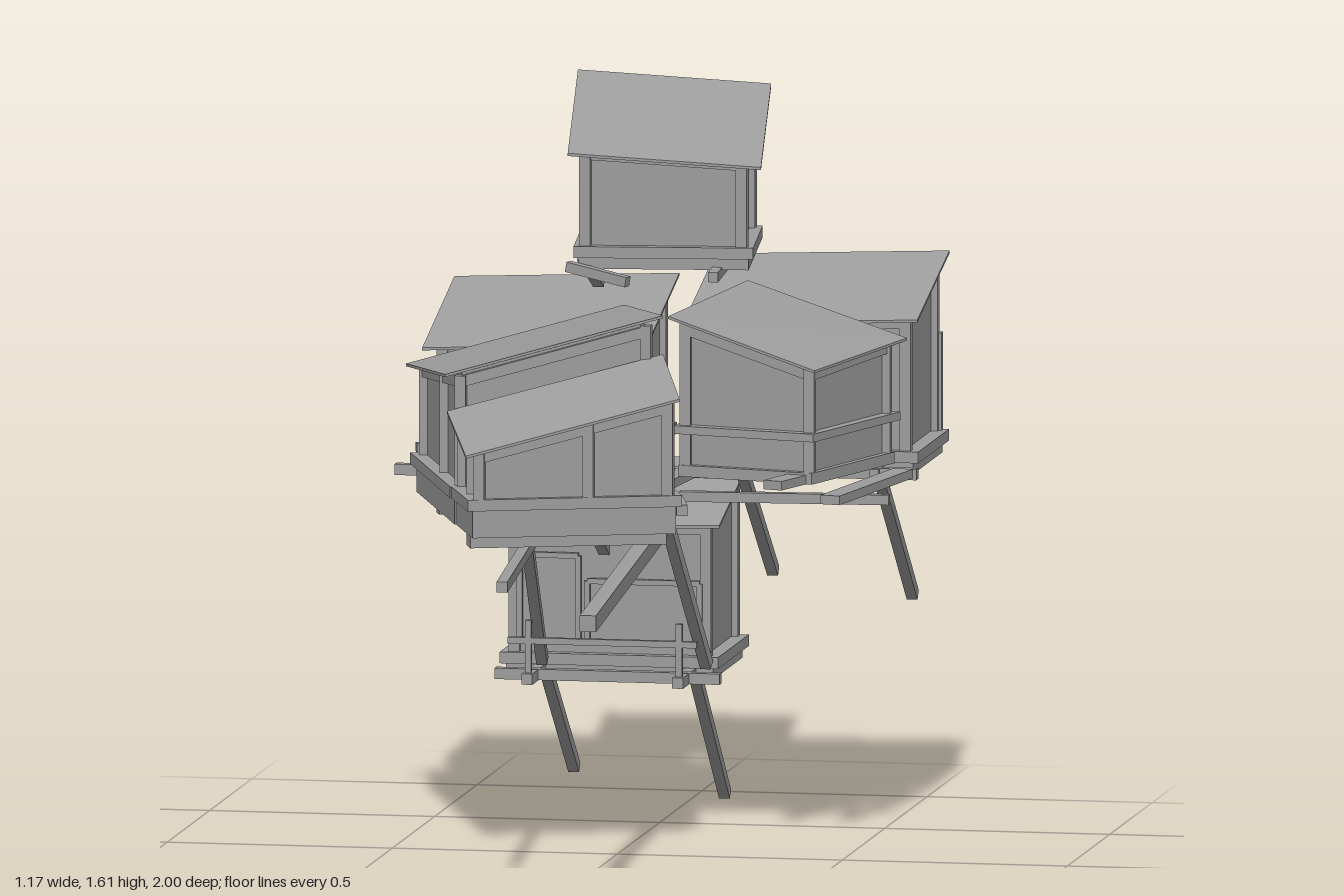
import * as THREE from 'three';
import { ConvexGeometry } from 'three/addons/geometries/ConvexGeometry.js';

const mat = new THREE.MeshStandardMaterial({ color: 0x9c9c9c, flatShading: true });
const V = (a) => new THREE.Vector3(...a);

function add(parent, geometry, name) {
  const m = new THREE.Mesh(geometry, mat);
  m.name = name;
  parent.add(m);
  return m;
}

// Square timber between two points
function beam(parent, name, a, b, w = 0.024, h = w) {
  const p = V(a), q = V(b);
  const m = add(parent, new THREE.BoxGeometry(w, h, p.distanceTo(q)), name);
  m.position.copy(p).lerp(q, 0.5);
  m.lookAt(q);
  return m;
}

// Hut under a sloping roof. Roof corners: back -x, back +x, front +x, front -x.
// u runs along x, v from back to front, both 0..1 across the roof.
// band: heights of the trim above the floor; split: sides with a middle post (0 back, 1 +x, 2 front, 3 -x).
function hut(parent, { name, roof, floor, u = [0.06, 0.94], v = [0.02, 0.89], band = [0, 0.025], skirt = 0.025, split = [] }) {
  const g = new THREE.Group();
  g.name = name;
  parent.add(g);
  const c = roof.map(V);
  const at = (s, t) => c[0].clone().lerp(c[1], s).lerp(c[3].clone().lerp(c[2], s), t);
  const rect = (grow) => [[u[0] - grow, v[0] - grow], [u[1] + grow, v[0] - grow],
    [u[1] + grow, v[1] + grow], [u[0] - grow, v[1] + grow]];
  const slab = (pts, lo, hi, label) => add(g, new ConvexGeometry(pts.flatMap(([s, t]) => {
    const p = at(s, t);
    return [new THREE.Vector3(p.x, lo(p.y), p.z), new THREE.Vector3(p.x, hi(p.y), p.z)];
  })), label);

  slab([[0, 0], [1, 0], [1, 1], [0, 1]], (y) => y - 0.006, (y) => y, 'roof');
  slab(rect(-0.02), () => floor, (y) => y - 0.007, 'walls');
  slab(rect(0.045), () => floor + band[0], () => floor + band[1], 'trimBand');
  slab(rect(0.02), () => floor - skirt, () => floor, 'floorFrame');

  // Corner and middle posts, top rails
  const r = rect(-0.015);
  r.forEach(([s, t], i) => {
    const [s2, t2] = r[(i + 1) % 4];
    for (const k of split.includes(i) ? [0, 0.42] : [0]) {
      const p = at(s + (s2 - s) * k, t + (t2 - t) * k);
      beam(g, 'post', [p.x, floor, p.z], [p.x, p.y - 0.012, p.z], 0.024);
    }
    const a = at(s, t), b = at(s2, t2);
    a.y -= 0.025; b.y -= 0.025;
    beam(g, 'topRail', a.toArray(), b.toArray(), 0.018, 0.024);
  });
  return g;
}

export function createModel() {
  const root = new THREE.Group();
  root.name = 'stiltHutCluster';

  // Huts
  hut(root, { name: 'topHut', floor: 1.245, u: [0.07, 0.91], v: [0.02, 0.87],
    roof: [[-0.24, 1.612, -0.81], [0.18, 1.585, -0.86], [0.227, 1.453, -0.49], [-0.193, 1.48, -0.44]] });
  hut(root, { name: 'backRightHut', floor: 0.81, split: [0],
    roof: [[-0.52, 1.145, -0.84], [-0.02, 1.165, -0.84], [-0.02, 1.06, -0.46], [-0.52, 1.04, -0.46]] });
  hut(root, { name: 'backLeftHut', floor: 0.81, u: [0.1, 0.95],
    roof: [[0.06, 1.21, -0.84], [0.58, 1.23, -0.84], [0.58, 1.13, -0.46], [0.06, 1.11, -0.46]] });
  hut(root, { name: 'lowerHut', floor: 0.345, split: [0],
    roof: [[-0.36, 0.75, -0.84], [0.14, 0.765, -0.84], [0.14, 0.665, -0.46], [-0.36, 0.65, -0.46]] });
  hut(root, { name: 'middleHut', floor: 0.8, v: [0.06, 1], skirt: 0.06, split: [3],
    roof: [[-0.535, 1.02, -0.35], [-0.08, 1.14, -0.505], [0.1, 1.19, -0.01], [-0.355, 1.07, 0.145]] });
  hut(root, { name: 'frontHut', floor: 0.8, u: [0.06, 0.97], v: [0, 0.89], skirt: 0.06, split: [2, 3],
    roof: [[-0.35, 0.99, 0.15], [0.1, 1.105, -0.01], [0.18, 1.04, 0.22], [-0.265, 0.925, 0.38]] });
  hut(root, { name: 'frontLeftHut', floor: 0.85, u: [0.06, 0.93], v: [0.07, 0.93], band: [0.07, 0.088],
    roof: [[0.2, 1.205, -0.48], [0.57, 1.1, -0.39], [0.44, 1.08, 0.01], [0.1, 1.18, -0.07]] });

  // Lower hut: platform, window frames and front railing
  for (const x of [-0.265, 0.07]) beam(root, 'platformBeam', [x, 0.332, -0.34], [x, 0.332, -0.91]);
  beam(root, 'platformEdge', [-0.35, 0.333, -0.42], [0.15, 0.333, -0.42], 0.024);
  for (const [x0, x1, y1] of [[-0.31, -0.18, 0.585], [-0.16, 0.09, 0.53]]) {
    const z = -0.497;
    for (const x of [x0, x1]) beam(root, 'frameSide', [x, 0.39, z], [x, y1, z], 0.012);
    beam(root, 'frameTop', [x0, y1, z], [x1, y1, z], 0.012);
  }
  for (const x of [-0.265, 0.07]) beam(root, 'railPost', [x, 0.34, -0.36], [x, 0.46, -0.36], 0.014);
  beam(root, 'handrail', [-0.31, 0.415, -0.36], [0.11, 0.415, -0.36], 0.014);

  // Diagonal struts running back under the huts
  beam(root, 'strut', [-0.265, 0.335, -0.55], [-0.265, 0.06, -0.9]);
  beam(root, 'strut', [0.07, 0.32, -0.55], [0.07, 0.01, -0.9]);
  beam(root, 'strut', [0.177, 0.78, -0.53], [0.177, 0.505, -0.9]);
  beam(root, 'strut', [0.487, 0.76, -0.53], [0.487, 0.46, -0.9]);
  beam(root, 'strut', [-0.125, 0.735, -0.25], [-0.125, 0.595, -0.52]);
  beam(root, 'strut', [-0.18, 1.24, -0.55], [-0.18, 1.155, -0.74]);

  // Floor beams of the back huts
  for (const [x, z0, z1] of [[-0.46, -0.45, -0.91], [-0.125, -0.4, -1], [0.175, -0.44, -0.9], [0.487, -0.44, -0.9]])
    beam(root, 'floorBeam', [x, 0.79, z0], [x, 0.79, z1], 0.022);
  beam(root, 'crossBeam', [-0.585, 0.767, -0.49], [0.02, 0.767, -0.49]);
  beam(root, 'crossBeam', [0.1, 0.79, -0.46], [0.58, 0.79, -0.46]);
  beam(root, 'topHutBeam', [-0.2, 1.225, -0.48], [-0.06, 1.2, -0.44], 0.022);
  beam(root, 'topHutBeam', [0.1, 1.215, -0.84], [0.13, 1.215, -0.44], 0.022);

  // Long poles carrying the front huts, with braces from the lower platform
  beam(root, 'longPole', [0.065, 0.7, -0.15], [0.123, 0.652, 1], 0.036);
  beam(root, 'longPole', [-0.22, 0.695, -0.34], [-0.11, 0.695, 0.775], 0.024);
  beam(root, 'brace', [-0.238, 0.74, -0.15], [-0.255, 0.355, -0.47]);
  beam(root, 'brace', [0.075, 0.74, -0.15], [0.11, 0.355, -0.47]);
  beam(root, 'bearer', [-0.28, 0.725, 0.27], [0.13, 0.725, 0.13], 0.06, 0.03);
  beam(root, 'bearer', [-0.44, 0.725, -0.22], [0.05, 0.725, -0.4], 0.04, 0.03);
  beam(root, 'sideStep', [0.14, 0.79, 0.04], [0.18, 0.79, 0.19], 0.024);

  // Bearers and walkway beside the front left hut
  beam(root, 'hutBearer', [0.48, 0.835, -0.28], [0.36, 0.835, 0.08], 0.045, 0.02);
  beam(root, 'walkwayPlank', [0.56, 0.8, -0.4], [0.48, 0.8, 0.04], 0.045, 0.02);
  beam(root, 'walkwayPlank', [0.1, 0.8, -0.4], [0.07, 0.8, -0.04], 0.04, 0.02);
  beam(root, 'walkwayBeam', [0.12, 0.78, -0.1], [0.58, 0.78, -0.13], 0.022);
  beam(root, 'walkwayPlank', [-0.52, 0.83, -0.39], [-0.25, 0.83, -0.47], 0.03, 0.02);
  beam(root, 'walkwayPlank', [-0.05, 0.79, -0.4], [0.3, 0.79, -0.4], 0.04, 0.02);
  beam(root, 'walkwayRail', [-0.5, 0.89, -0.42], [-0.43, 0.89, -0.44], 0.014);

  // Side trim on the back left hut
  beam(root, 'sideTrim', [0.555, 0.83, -0.835], [0.555, 1.05, -0.835], 0.02);

  return root;
}
